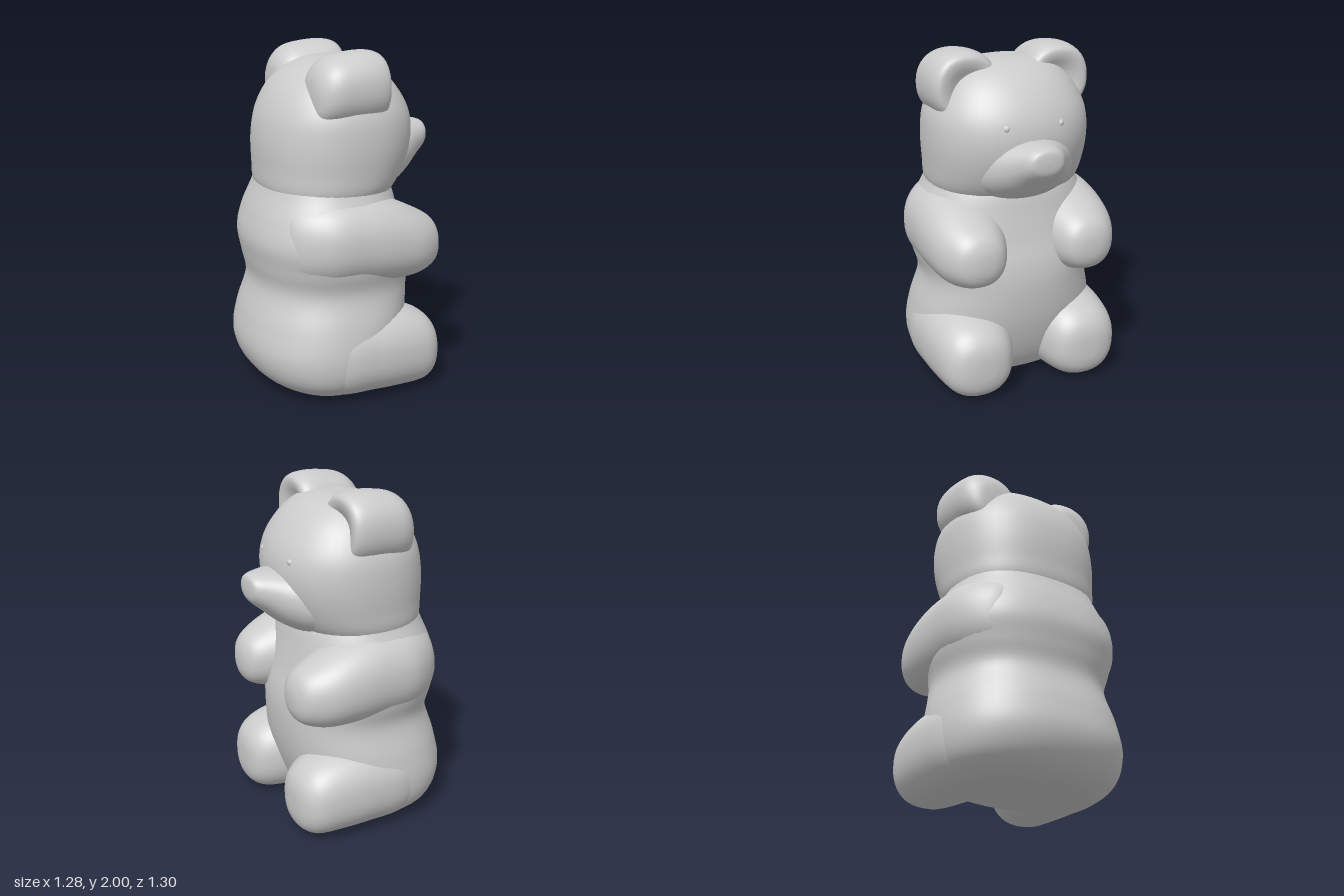
import * as THREE from 'three';

// Catmull-Rom interpolation through rows of numbers
function sampleRows(rows, u) {
  const n = rows.length - 1;
  const i = Math.min(Math.floor(u * n), n - 1);
  const t = u * n - i;
  const at = (k) => rows[Math.max(0, Math.min(n, k))];
  return rows[0].map((_, c) => {
    const a = at(i - 1)[c], b = at(i)[c], d = at(i + 1)[c], e = at(i + 2)[c];
    return b + 0.5 * t * (d - a + t * (2 * a - 5 * b + 4 * d - e + t * (3 * (b - d) + e - a)));
  });
}

// Smooth loft along y; each row is [y, centreX, centreZ, radiusX, radiusZ]
function loft(rows, power = 2.3, sides = 48, perRow = 6) {
  const rings = (rows.length - 1) * perRow;
  const pos = [], index = [];
  const bulge = (v) => Math.sign(v) * Math.pow(Math.abs(v), 2 / power);
  for (let j = 0; j <= rings; j++) {
    const [y, cx, cz, rx, rz] = sampleRows(rows, j / rings);
    for (let i = 0; i < sides; i++) {
      const a = (i / sides) * Math.PI * 2;
      pos.push(cx + Math.max(rx, 0) * bulge(Math.cos(a)), y, cz + Math.max(rz, 0) * bulge(Math.sin(a)));
      if (j < rings) {
        const p = j * sides + i, q = j * sides + ((i + 1) % sides);
        index.push(p, p + sides, q, q, p + sides, q + sides);
      }
    }
  }
  const geo = new THREE.BufferGeometry();
  geo.setAttribute('position', new THREE.Float32BufferAttribute(pos, 3));
  geo.setIndex(index);
  geo.computeVertexNormals();
  return geo;
}

// Loft running forward along z; each row is [z, centreX, centreY, radiusX, radiusY]
function forwardLoft(rows, side = 1, power = 2.2) {
  const turned = rows.map(([z, x, y, rx, ry]) => [z, x * side, -y, rx, ry]);
  return loft(turned, power).rotateX(Math.PI / 2);
}

// Upright loft rows given as [y, back, front, halfWidth]
const upright = (rows) => rows.map(([y, b, f, w]) => [y, 0, (b + f) / 2, w, (f - b) / 2]);

export function createModel() {
  const model = new THREE.Group();
  const bear = new THREE.Group();
  bear.name = 'bear';
  model.add(bear);

  const clay = new THREE.MeshStandardMaterial({ color: 0xcccccc });
  clay.name = 'light grey clay';

  const add = (name, geometry) => {
    const mesh = new THREE.Mesh(geometry, clay);
    mesh.name = name;
    bear.add(mesh);
    return mesh;
  };

  // Torso: wide seat, waist and shoulder bulge
  add('torso', loft(upright([
    [0.01, -0.1, -0.1, 0],
    [0.012, -0.36, 0.08, 0.36],
    [0.05, -0.49, 0.17, 0.47],
    [0.14, -0.585, 0.24, 0.545],
    [0.28, -0.63, 0.3, 0.57],
    [0.45, -0.605, 0.345, 0.55],
    [0.64, -0.55, 0.365, 0.505],
    [0.78, -0.57, 0.355, 0.535],
    [0.92, -0.59, 0.32, 0.555],
    [1.06, -0.56, 0.29, 0.525],
    [1.2, -0.505, 0.26, 0.46],
    [1.32, -0.46, 0.2, 0.41],
  ]), 2.3));

  // Head
  add('head', loft(upright([
    [1.08, -0.1, -0.1, 0],
    [1.1, -0.4, 0.14, 0.34],
    [1.2, -0.49, 0.265, 0.445],
    [1.34, -0.505, 0.35, 0.47],
    [1.5, -0.505, 0.39, 0.48],
    [1.65, -0.475, 0.37, 0.465],
    [1.79, -0.4, 0.29, 0.395],
    [1.89, -0.28, 0.18, 0.29],
    [1.935, -0.15, 0.06, 0.15],
    [1.94, -0.04, -0.04, 0],
  ]), 2.25));

  // Broad muzzle and chin tapering to a blunt tip
  add('muzzle', forwardLoft([
    [0.1, 0, 1.35, 0.36, 0.23],
    [0.25, 0, 1.36, 0.3, 0.195],
    [0.36, 0, 1.385, 0.225, 0.16],
    [0.45, 0, 1.42, 0.155, 0.12],
    [0.51, 0, 1.44, 0.115, 0.09],
    [0.54, 0, 1.45, 0.08, 0.06],
    [0.548, 0, 1.45, 0, 0],
  ]));

  // Small nose ridge
  const nose = add('nose', new THREE.SphereGeometry(1, 24, 16));
  nose.scale.set(0.06, 0.03, 0.04);
  nose.position.set(0, 1.5, 0.495);

  for (const [label, s] of [['left', 1], ['right', -1]]) {
    // Ear: thick rounded disc with a hollow front
    add(label + 'Ear', forwardLoft([
      [-0.32, 0.28, 1.74, 0, 0],
      [-0.3, 0.285, 1.75, 0.12, 0.13],
      [-0.22, 0.29, 1.785, 0.185, 0.185],
      [-0.08, 0.29, 1.8, 0.2, 0.2],
      [0.04, 0.285, 1.802, 0.2, 0.198],
      [0.1, 0.285, 1.8, 0.175, 0.175],
      [0.105, 0.28, 1.795, 0.13, 0.13],
      [0.075, 0.265, 1.78, 0.07, 0.07],
      [0.065, 0.265, 1.78, 0, 0],
    ], s));

    // Arm reaching forward from a broad shoulder
    add(label + 'Arm', forwardLoft([
      [-0.5, 0.22, 0.93, 0, 0],
      [-0.46, 0.25, 0.935, 0.17, 0.19],
      [-0.28, 0.29, 0.945, 0.265, 0.26],
      [-0.06, 0.315, 0.945, 0.265, 0.265],
      [0.12, 0.335, 0.925, 0.245, 0.245],
      [0.28, 0.345, 0.895, 0.21, 0.205],
      [0.4, 0.34, 0.88, 0.15, 0.15],
      [0.445, 0.335, 0.875, 0.08, 0.08],
      [0.455, 0.335, 0.875, 0, 0],
    ], s));

    // Leg with a rounded foot and flat underside
    add(label + 'Leg', forwardLoft([
      [-0.46, 0.23, 0.27, 0, 0],
      [-0.42, 0.26, 0.27, 0.17, 0.19],
      [-0.22, 0.3, 0.265, 0.265, 0.255],
      [0.02, 0.315, 0.265, 0.27, 0.26],
      [0.2, 0.325, 0.255, 0.25, 0.25],
      [0.34, 0.335, 0.235, 0.215, 0.22],
      [0.415, 0.335, 0.225, 0.16, 0.165],
      [0.446, 0.335, 0.225, 0.08, 0.09],
      [0.451, 0.335, 0.225, 0, 0],
    ], s, 2.3));

    // Tiny bead eye
    const eye = add(label + 'Eye', new THREE.SphereGeometry(0.022, 16, 12));
    eye.position.set(s * 0.165, 1.615, 0.347);
  }

  // The bear sits turned away from the front
  bear.rotation.y = THREE.MathUtils.degToRad(123);
  bear.position.set(0.01, 0, 0.015);
  return model;
}
